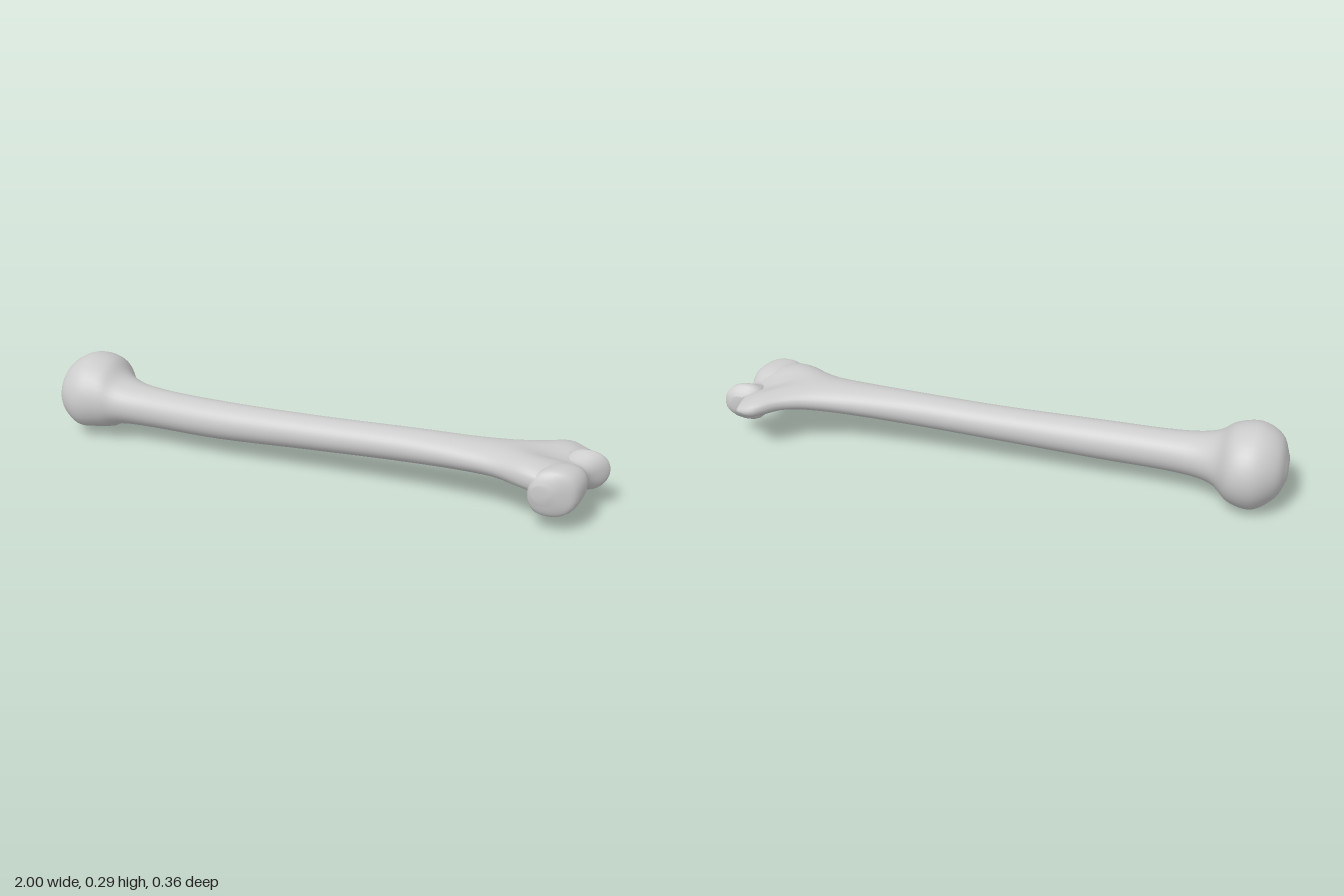
import * as THREE from 'three';

const SIDES = 36;
const material = new THREE.MeshStandardMaterial({ color: 0xcccccc });
const signedPow = (v, p) => Math.sign(v) * Math.abs(v) ** p;
const bump = (v, centre, width) => Math.exp(-(((v - centre) / width) ** 2));

// Skin closed rings (counter-clockwise about the direction of travel), with end caps.
function loft(rings, name) {
  const points = rings.flat();
  const index = [];
  for (let i = 0; i < rings.length - 1; i++) {
    for (let j = 0; j < SIDES; j++) {
      const a = i * SIDES + j, b = i * SIDES + (j + 1) % SIDES;
      index.push(a, b, b + SIDES, a, b + SIDES, a + SIDES);
    }
  }
  const last = (rings.length - 1) * SIDES;
  for (let j = 1; j < SIDES - 1; j++) {
    index.push(0, j + 1, j, last, last + j, last + j + 1);
  }
  const geometry = new THREE.BufferGeometry().setFromPoints(points);
  geometry.setIndex(index);
  geometry.computeVertexNormals();
  const mesh = new THREE.Mesh(geometry, material);
  mesh.name = name;
  return mesh;
}

// Smoothly interpolate stations of [position, low, high, low, high].
function sample(stations, count) {
  const curve = k => new THREE.CatmullRomCurve3(
    stations.map(s => new THREE.Vector3(s[0], s[k], s[k + 1])), false, 'catmullrom');
  const first = curve(1).getPoints(count), second = curve(3).getPoints(count);
  return first.map((p, i) => [p.x, p.y, p.z, second[i].y, second[i].z]);
}

// Section across x: the lower end turns flat, thicker in front, with a hollow above and below.
function shaftRing([x, y0, y1, z0, z1]) {
  const flat = THREE.MathUtils.smoothstep(x, 0.62, 0.8);
  return Array.from({ length: SIDES }, (_, j) => {
    const a = -j / SIDES * Math.PI * 2;
    const c = signedPow(Math.cos(a), 1 - 0.2 * flat);
    const s = signedPow(Math.sin(a), 1 - 0.2 * flat);
    const groove = s < 0 ? 0.16 * bump(x, -0.87, 0.07) * bump(c, 0.45, 0.32) : 0;
    const hollow = 0.5 * bump(x, 0.84, 0.08) * bump(c, -0.08, 0.32);
    const height = (y1 - y0) / 2 * s * (1 + 0.2 * flat * (c - 0.6)) * (1 - groove - hollow);
    return new THREE.Vector3(x, (y0 + y1) / 2 + height, (z0 + z1) / 2 + (z1 - z0) / 2 * c);
  });
}

// Section across z
function jointRing([z, x0, x1, y0, y1]) {
  return Array.from({ length: SIDES }, (_, j) => {
    const a = j / SIDES * Math.PI * 2;
    const c = signedPow(Math.cos(a), 0.85), s = signedPow(Math.sin(a), 0.85);
    return new THREE.Vector3((x0 + x1) / 2 + (x1 - x0) / 2 * c, (y0 + y1) / 2 + (y1 - y0) / 2 * s, z);
  });
}

export function createModel() {
  const bone = new THREE.Group();
  bone.name = 'armBone';

  // Rounded head, neck and shaft, flaring into the wide lower end: x, y range, z range
  const shaft = [
    [-1, 0.11, 0.18, -0.04, 0.05],
    [-0.97, 0.05, 0.255, -0.11, 0.11],
    [-0.9, 0.002, 0.295, -0.16, 0.145],
    [-0.82, 0.018, 0.282, -0.153, 0.135],
    [-0.75, 0.058, 0.23, -0.085, 0.117],
    [-0.62, 0.068, 0.21, -0.047, 0.104],
    [-0.35, 0.072, 0.206, -0.036, 0.104],
    [0, 0.09, 0.21, -0.038, 0.092],
    [0.35, 0.108, 0.222, -0.047, 0.09],
    [0.62, 0.12, 0.227, -0.07, 0.112],
    [0.76, 0.121, 0.235, -0.117, 0.16],
    [0.85, 0.11, 0.226, -0.182, 0.17],
    [0.92, 0.13, 0.188, -0.17, 0.125],
  ];
  bone.add(loft(sample(shaft, 60).map(shaftRing), 'headAndShaft'));

  // Spool-shaped joint surface across the lower end: z, x range, y range
  const joint = [
    [-0.1, 0.9, 0.975, 0.115, 0.175],
    [-0.085, 0.87, 1, 0.092, 0.197],
    [-0.06, 0.85, 0.99, 0.073, 0.215],
    [0, 0.84, 0.945, 0.098, 0.19],
    [0.07, 0.81, 0.955, 0.085, 0.22],
    [0.14, 0.785, 0.94, 0.065, 0.226],
    [0.165, 0.785, 0.9, 0.075, 0.208],
    [0.179, 0.8, 0.86, 0.125, 0.175],
  ];
  bone.add(loft(sample(joint, 28).map(jointRing), 'lowerJoint'));

  return bone;
}
